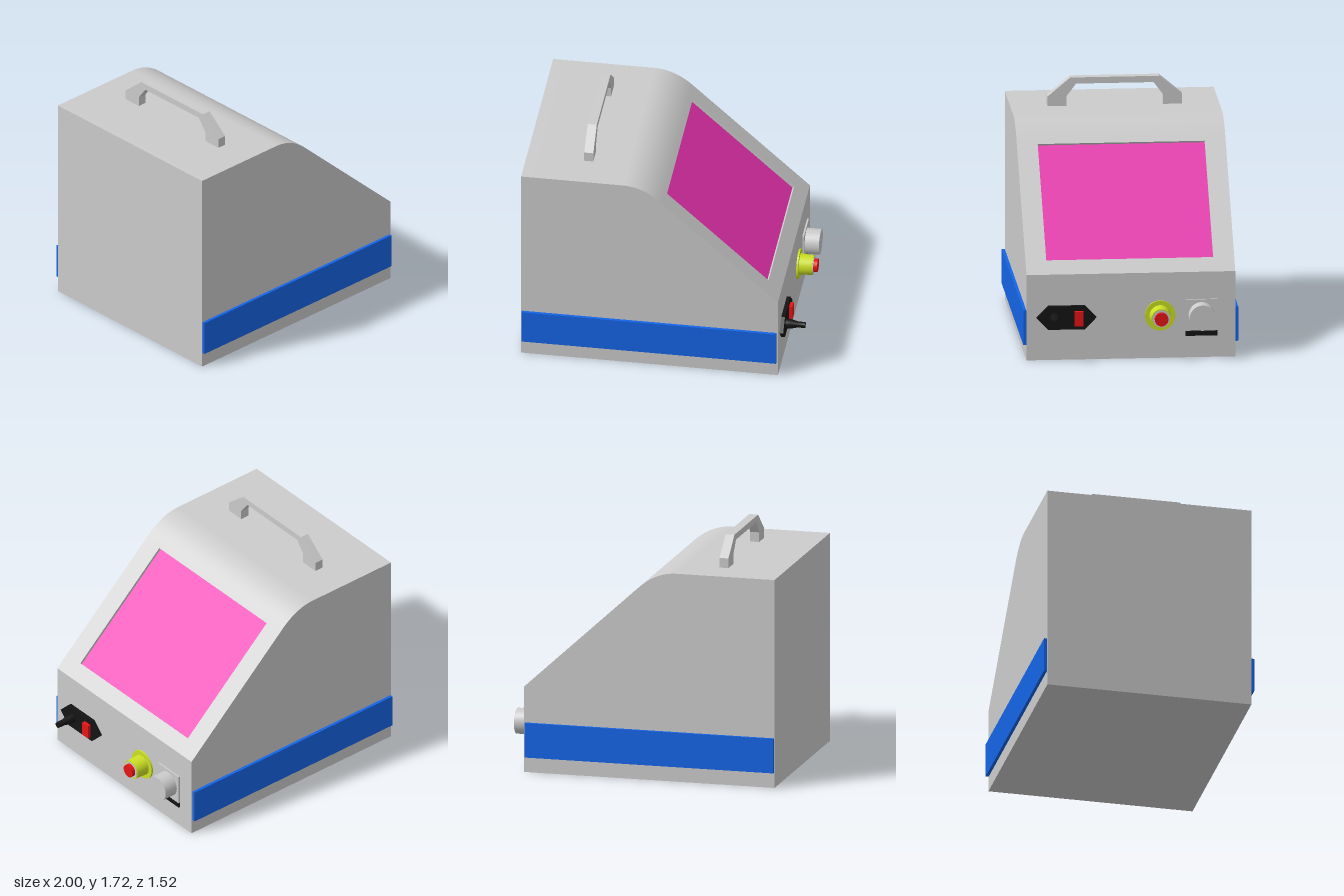
import * as THREE from 'three';
import { toCreasedNormals } from 'three/addons/utils/BufferGeometryUtils.js';

const mat = (color) => new THREE.MeshStandardMaterial({ color });
const GREY = mat(0xcccccc), BLUE = mat(0x1464e6), MAGENTA = mat(0xea32b0);
const YELLOW = mat(0xcce024), RED = mat(0xe81414), BLACK = mat(0x141414);

const W = 0.74;          // half width of the cabinet
const FRONT = 0.835;     // x of the control panel
const DEPTH = 0.02;      // screen recess
const TOP = new THREE.Vector2(0, 1.389), LOW = new THREE.Vector2(FRONT, 0.62);
const T = LOW.clone().sub(TOP).normalize();        // down the slope
const N = new THREE.Vector2(-T.y, T.x);            // out of the slope
const slopeAt = (x) => (x - TOP.x) / T.x;          // distance along slope for a given x

export function createModel() {
  const model = new THREE.Group();

  function add(name, geometry, material, x = 0, y = 0, z = 0, parent = model) {
    const mesh = new THREE.Mesh(geometry, material);
    mesh.name = name;
    mesh.position.set(x, y, z);
    parent.add(mesh);
    return mesh;
  }
  // box given by its min and max corners
  const box = (name, material, [x0, y0, z0], [x1, y1, z1]) =>
    add(name, new THREE.BoxGeometry(x1 - x0, y1 - y0, z1 - z0), material,
      (x0 + x1) / 2, (y0 + y1) / 2, (z0 + z1) / 2);
  // round part along +x from a [radius, x] profile
  function round(name, material, profile, y, z) {
    const pts = profile.map(([r, x]) => new THREE.Vector2(r, x));
    const geo = toCreasedNormals(new THREE.LatheGeometry(pts, 40), 0.5);
    geo.rotateZ(-Math.PI / 2);
    return add(name, geo, material, 0, y, z);
  }
  // outline in (z, y) extruded along +x from x0
  function slab(name, material, points, x0, thickness) {
    const shape = new THREE.Shape(points.map(([z, y]) => new THREE.Vector2(-z, y)));
    const geo = new THREE.ExtrudeGeometry(shape, { depth: thickness, bevelEnabled: false });
    geo.rotateY(Math.PI / 2);
    return add(name, geo, material, x0);
  }

  // Cabinet with a shallow step in the slope that takes the screen frame
  const sEnd = slopeAt(0.8);
  const on = (s, h) => [TOP.x + T.x * s + N.x * h, TOP.y + T.y * s + N.y * h];
  const side = new THREE.Shape();
  side.moveTo(-1, 0);
  side.lineTo(FRONT, 0);
  side.lineTo(LOW.x, LOW.y);
  side.lineTo(...on(sEnd, 0));
  side.lineTo(...on(sEnd, -DEPTH));
  side.lineTo(...on(0, -DEPTH));
  side.lineTo(TOP.x, TOP.y);
  side.quadraticCurveTo(-0.13, 1.51, -0.28, 1.51);
  side.lineTo(-1, 1.51);
  side.closePath();
  const cabinet = new THREE.ExtrudeGeometry(side, { depth: 2 * W, bevelEnabled: false, curveSegments: 20 });
  add('cabinet', toCreasedNormals(cabinet, 0.4), GREY, 0, 0, -W);

  // Sloped screen assembly: local x runs down the slope, local z points outward
  const slope = new THREE.Group();
  slope.name = 'screenPanel';
  slope.applyMatrix4(new THREE.Matrix4().makeBasis(
    new THREE.Vector3(T.x, T.y, 0), new THREE.Vector3(0, 0, -1), new THREE.Vector3(N.x, N.y, 0)));
  const [ox, oy] = on(0, -DEPTH);
  slope.position.set(ox, oy, 0);
  model.add(slope);
  const rect = (Type, a, b, h) => new Type([[a, -h], [b, -h], [b, h], [a, h]]
    .map(([x, y]) => new THREE.Vector2(x, y)));
  const s0 = slopeAt(0.02), s1 = slopeAt(0.745), halfScreen = 0.592;
  const frame = rect(THREE.Shape, 0, sEnd, W);
  frame.holes.push(rect(THREE.Path, s0, s1, halfScreen));
  add('screenFrame', new THREE.ExtrudeGeometry(frame, { depth: DEPTH, bevelEnabled: false }),
    GREY, 0, 0, 0, slope);
  add('screen', new THREE.PlaneGeometry(s1 - s0, 2 * halfScreen), MAGENTA,
    (s0 + s1) / 2, 0, 0.002, slope);

  // Side stripes
  for (const s of [-1, 1]) {
    add(s > 0 ? 'leftStripe' : 'rightStripe', new THREE.BoxGeometry(1.82, 0.25, 0.022), BLUE,
      -0.085, 0.235, s * (W + 0.011));
  }

  // Carry handle
  const outer = [[0.477, 1.51], [0.477, 1.58], [0.316, 1.715]];
  const inner = [[0.342, 1.51], [0.342, 1.58], [0.275, 1.67]];
  const flip = (pts) => pts.map(([z, y]) => [-z, y]);
  slab('handle', GREY, [...outer, ...flip(outer).reverse(), ...flip(inner), ...inner.slice().reverse()],
    -0.59, 0.065);

  // Power inlet with switch and plug
  slab('powerInlet', BLACK, [[0.67, 0.31], [0.588, 0.395], [0.328, 0.395],
    [0.245, 0.31], [0.328, 0.225], [0.588, 0.225]], FRONT, 0.027);
  box('powerSwitch', RED, [0.855, 0.252, 0.34], [0.887, 0.358, 0.403]);
  round('powerPlug', BLACK, [[0, 0.855], [0.036, 0.855], [0.034, 0.9], [0.022, 0.945],
    [0.021, 1], [0, 1]], 0.31, 0.54);

  // Emergency stop
  const stopZ = -0.207;
  round('stopCollar', YELLOW, [[0, FRONT], [0.108, FRONT], [0.108, 0.848], [0.076, 0.848],
    [0.07, 0.945], [0, 0.945]], 0.31, stopZ);
  round('stopRing', GREY, [[0.062, 0.94], [0.062, 0.948], [0, 0.948]], 0.31, stopZ);
  round('stopButton', RED, [[0.048, 0.94], [0.048, 0.975], [0, 0.975]], 0.31, stopZ);

  // Round socket on a square plate with a dark strip below
  box('socketPlate', GREY, [FRONT, 0.195, -0.612], [0.847, 0.422, -0.386]);
  box('socketStrip', BLACK, [FRONT, 0.158, -0.612], [0.847, 0.195, -0.386]);
  round('socket', GREY, [[0.092, 0.84], [0.092, 0.95], [0, 0.95]], 0.31, -0.5);

  return model;
}
